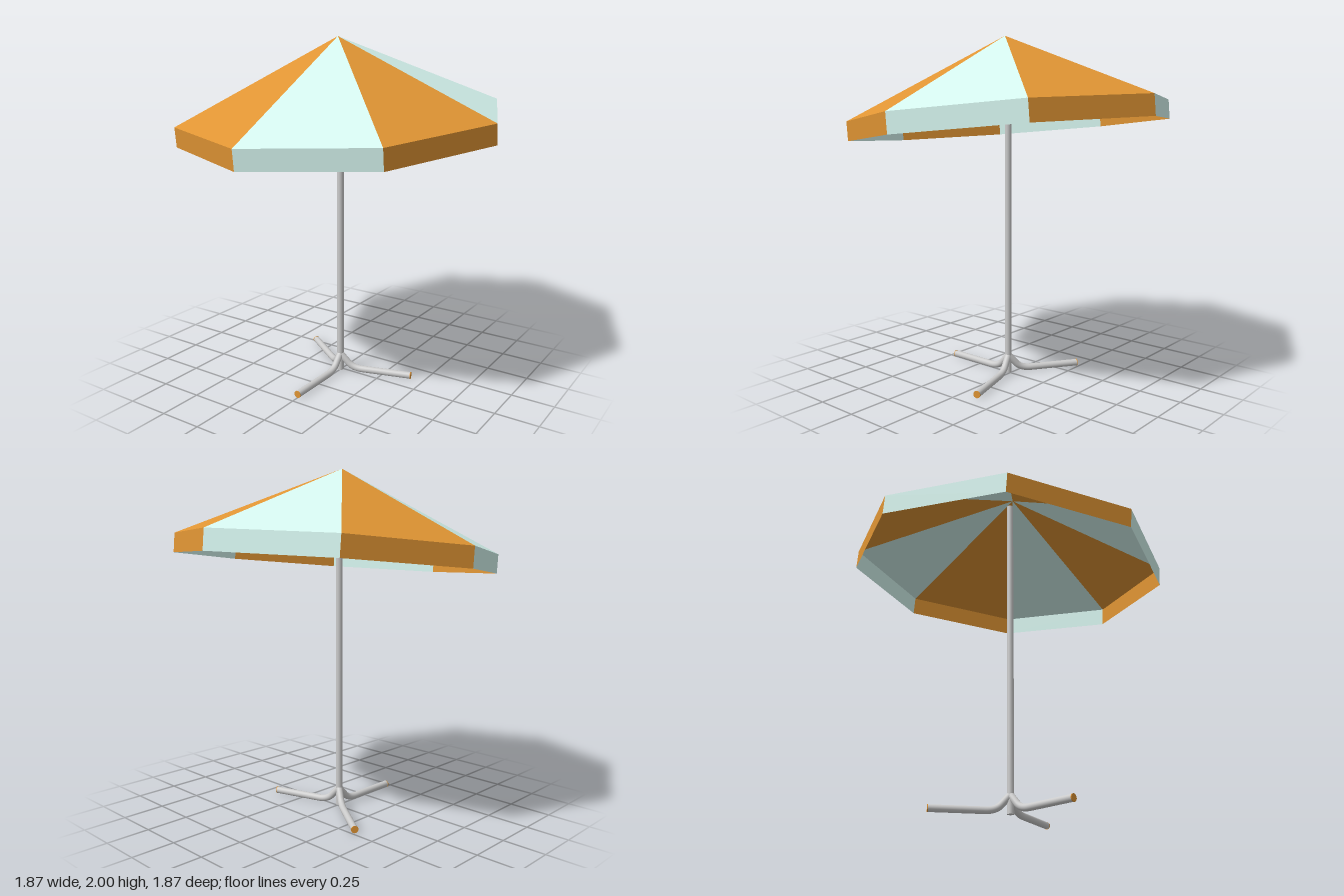
import * as THREE from 'three';

const grey = new THREE.MeshStandardMaterial({ color: 0xcccccc, side: THREE.DoubleSide });
const pale = new THREE.MeshStandardMaterial({ color: 0xd4f4ee, side: THREE.DoubleSide });
const orange = new THREE.MeshStandardMaterial({ color: 0xdf9433, side: THREE.DoubleSide });

const POLE_Z = 0.016;
const TUBE_R = 0.02;

function add(parent, name, geometry, material) {
  const mesh = new THREE.Mesh(geometry, material);
  mesh.name = name;
  parent.add(mesh);
  return mesh;
}

// Flat polygon from corners in counter-clockwise order, as a fan of triangles
function flatPanel(corners) {
  const points = [];
  for (let i = 1; i < corners.length - 1; i++) points.push(corners[0], corners[i], corners[i + 1]);
  const geometry = new THREE.BufferGeometry().setFromPoints(points);
  geometry.computeVertexNormals();
  return geometry;
}

// Eight-sided open canopy, striped, with a hanging valance and a slight forward tilt
function createCanopy() {
  const canopy = new THREE.Group();
  canopy.name = 'canopy';
  const sides = 8, radius = 0.934, height = 0.424, drop = 0.112;
  const apex = new THREE.Vector3(0, height, 0);
  const rim = (k, y) => {
    const a = (k / sides) * Math.PI * 2;
    return new THREE.Vector3(radius * Math.sin(a), y, radius * Math.cos(a));
  };
  for (let k = 0; k < sides; k++) {
    const material = k % 2 ? orange : pale;
    add(canopy, 'canopyPanel', flatPanel([apex, rim(k, 0), rim(k + 1, 0)]), material);
    add(canopy, 'valancePanel', flatPanel([rim(k, 0), rim(k, -drop), rim(k + 1, -drop), rim(k + 1, 0)]), material);
  }
  canopy.rotation.x = 0.094;
  canopy.position.y = 1.578;
  return canopy;
}

// Bent tube foot running out along +x, with a coloured end cap
function createLeg() {
  const leg = new THREE.Group();
  leg.name = 'leg';
  const length = 0.438, y = 0.023;
  const v = (x, h) => new THREE.Vector3(x, h, 0);
  const path = new THREE.CurvePath();
  path.add(new THREE.LineCurve3(v(0.004, 0.105), v(0.05, 0.055)));
  path.add(new THREE.QuadraticBezierCurve3(v(0.05, 0.055), v(0.08, y), v(0.14, y)));
  path.add(new THREE.LineCurve3(v(0.14, y), v(length, y)));
  add(leg, 'legTube', new THREE.TubeGeometry(path, 40, TUBE_R, 16), grey);
  const cap = add(leg, 'legEndCap', new THREE.CylinderGeometry(0.021, 0.021, 0.004, 16), orange);
  cap.rotation.z = -Math.PI / 2;
  cap.position.set(length, y, 0);
  return leg;
}

export function createModel() {
  const model = new THREE.Group();
  model.name = 'parasol';
  model.add(createCanopy());

  // Upright pole
  const bottom = 0.006, top = 1.965;
  const pole = add(model, 'pole', new THREE.CylinderGeometry(TUBE_R, TUBE_R, top - bottom, 20), grey);
  pole.position.set(0, (top + bottom) / 2, POLE_Z);

  // Three spread feet: front, left and right
  for (const degrees of [-90, 16.7, 145.2]) {
    const leg = createLeg();
    leg.rotation.y = THREE.MathUtils.degToRad(degrees);
    leg.position.z = POLE_Z;
    model.add(leg);
  }
  return model;
}
